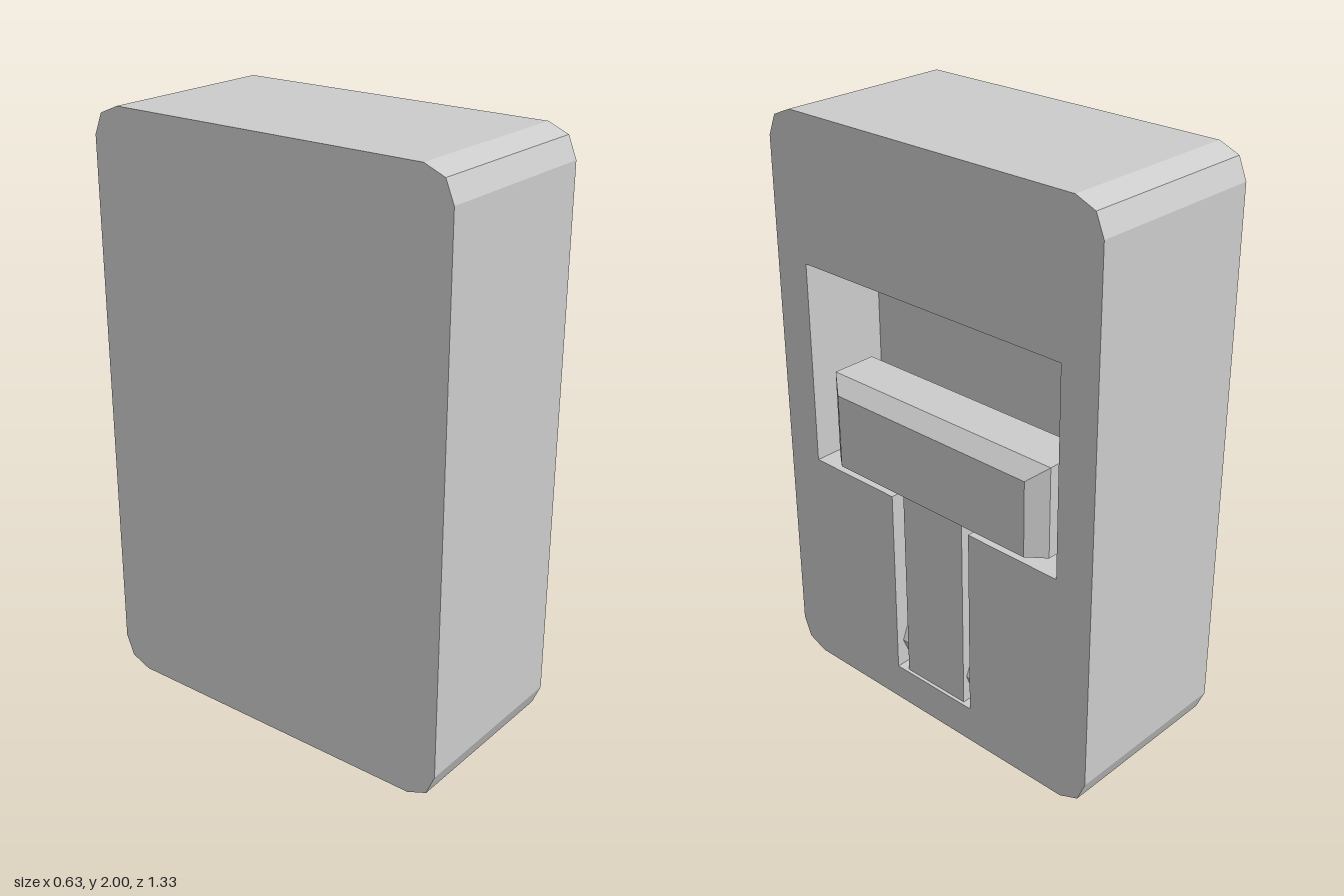
import * as THREE from 'three';
import { mergeGeometries } from 'three/addons/utils/BufferGeometryUtils.js';

// Profiles are drawn in a plane (u across, v up) and stacked along depth d,
// then turned so that depth runs along +x.
const rect = (halfWidth, bottom, top) => [
  [-halfWidth, bottom], [halfWidth, bottom], [halfWidth, top], [-halfWidth, top],
];

// Side faces between two matching counter-clockwise rings.
function loft(ringA, dA, ringB, dB) {
  const pos = [];
  ringA.forEach((a, i) => {
    const j = (i + 1) % ringA.length;
    const a2 = ringA[j], b = ringB[i], b2 = ringB[j];
    pos.push(...a, dA, ...a2, dA, ...b2, dB, ...a, dA, ...b2, dB, ...b, dB);
  });
  const geo = new THREE.BufferGeometry();
  geo.setAttribute('position', new THREE.Float32BufferAttribute(pos, 3));
  geo.computeVertexNormals();
  return geo;
}

// Flat face at depth d; back faces look the other way (profiles are symmetric).
function cap(ring, d, { back = false, hole = null } = {}) {
  const toPoints = (r) => r.map(([u, v]) => new THREE.Vector2(u, v));
  const shape = new THREE.Shape(toPoints(ring));
  if (hole) shape.holes.push(new THREE.Path(toPoints(hole)));
  const geo = new THREE.ShapeGeometry(shape).toNonIndexed();
  geo.deleteAttribute('uv');
  if (back) geo.rotateY(Math.PI);
  return geo.translate(0, 0, d);
}

export function createModel() {
  const group = new THREE.Group();
  const material = new THREE.MeshStandardMaterial({ color: 0xcccccc, flatShading: true });
  const add = (name, geometry) => {
    const mesh = new THREE.Mesh(geometry, material);
    mesh.name = name;
    group.add(mesh);
  };
  const addParts = (name, parts) => add(name, mergeGeometries(parts).rotateY(Math.PI / 2));

  // Housing outline: tall block with two-facet rounded corners
  const r = 0.1, outline = [];
  const corners = [[0.565, 0.1], [0.565, 1.9], [-0.565, 1.9], [-0.565, 0.1]];
  corners.forEach(([u, v], i) => {
    for (let k = 0; k < 3; k++) {
      const angle = (i - 1) * Math.PI / 2 + k * Math.PI / 4;
      outline.push([u + r * Math.cos(angle), v + r * Math.sin(angle)]);
    }
  });

  // T-shaped pocket: wide window above a narrow channel
  const pocket = [
    [-0.17, 0.13], [0.17, 0.13], [0.17, 0.805], [0.53, 0.805],
    [0.53, 1.51], [-0.53, 1.51], [-0.53, 0.805], [-0.17, 0.805],
  ];
  const inward = [...pocket].reverse();
  const backX = -0.317, faceX = 0.312, floorX = 0.01;
  addParts('housing', [
    loft(outline, backX, outline, faceX),
    cap(outline, backX, { back: true }),
    cap(outline, faceX, { hole: pocket }),
    loft(inward, floorX, inward, faceX),
    cap(pocket, floorX),
  ]);

  // Latch head, bevelled on the top and both ends
  const base = rect(0.465, 0.83, 1.14), face = rect(0.405, 0.83, 1.09);
  addParts('latchHead', [
    cap(base, 0.11, { back: true }),
    loft(base, 0.11, base, 0.27),
    loft(base, 0.27, face, 0.317),
    cap(face, 0.317),
  ]);

  // Lever arm, set slightly below the housing face
  const arm = rect(0.13, 0.13, 0.83);
  addParts('leverArm', [
    cap(arm, 0.11, { back: true }),
    loft(arm, 0.11, arm, 0.3),
    cap(arm, 0.3),
  ]);

  // Eight-sided pivot across the channel
  const pivot = new THREE.CylinderGeometry(0.08, 0.08, 0.34, 8);
  add('pivotAxle', pivot.rotateX(Math.PI / 2).translate(0.205, 0.225, 0));

  return group;
}
